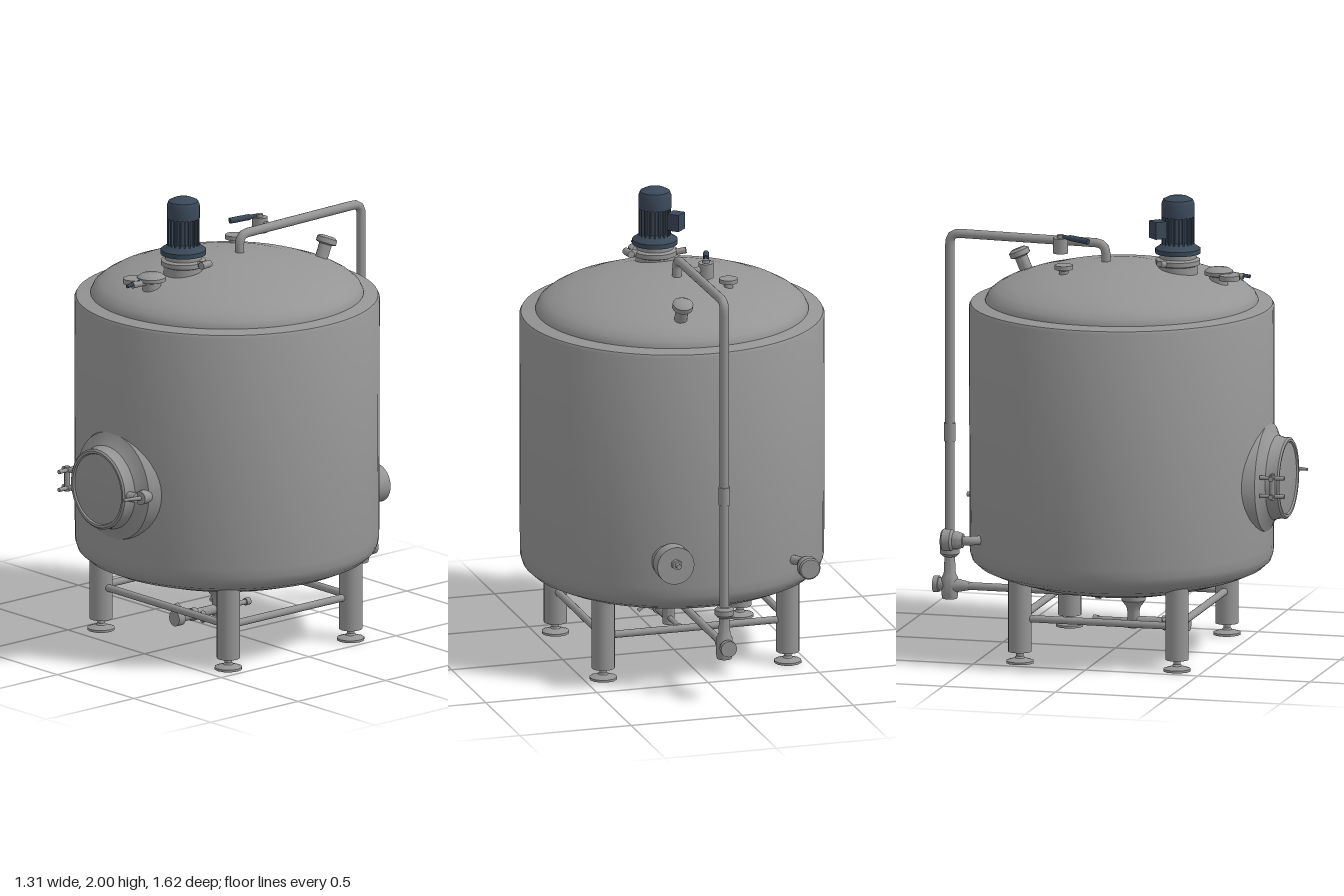
import * as THREE from 'three';
import { toCreasedNormals } from 'three/addons/utils/BufferGeometryUtils.js';

const steel = new THREE.MeshStandardMaterial({ color: 0x959595 });
steel.name = 'steel grey';
const navy = new THREE.MeshStandardMaterial({ color: 0x3a4858 });
navy.name = 'dark blue';

const CZ = 0.028; // tank axis in z
const V = (x, y, z) => new THREE.Vector3(x, y, z);

export function createModel() {
  const model = new THREE.Group();
  model.name = 'processTank';

  const add = (name, geo, mat = steel, parent = model) => {
    const mesh = new THREE.Mesh(geo, mat);
    mesh.name = name;
    parent.add(mesh);
    return mesh;
  };
  // turned profile, listed bottom to top as [radius, height]
  const lathe = (pts, seg = 32, crease = 0.6) =>
    toCreasedNormals(new THREE.LatheGeometry(pts.map(p => new THREE.Vector2(...p)), seg), crease);
  // straight round bar from a to b
  const rod = (name, a, b, r, mat = steel, parent = model, r2 = r, seg = 16) => {
    const d = b.clone().sub(a);
    const mesh = add(name, new THREE.CylinderGeometry(r2, r, d.length(), seg), mat, parent);
    mesh.position.copy(a).addScaledVector(d, 0.5);
    mesh.quaternion.setFromUnitVectors(V(0, 1, 0), d.normalize());
    return mesh;
  };
  // pipe through corner points with rounded bends
  const pipe = (name, pts, r, bend, parent = model) => {
    const path = new THREE.CurvePath();
    let from = pts[0];
    for (let i = 1; i < pts.length - 1; i++) {
      const p = pts[i];
      const a = p.clone().add(pts[i - 1].clone().sub(p).setLength(bend));
      const b = p.clone().add(pts[i + 1].clone().sub(p).setLength(bend));
      path.add(new THREE.LineCurve3(from, a));
      path.add(new THREE.QuadraticBezierCurve3(a, p, b));
      from = b;
    }
    path.add(new THREE.LineCurve3(from, pts[pts.length - 1]));
    return add(name, new THREE.TubeGeometry(path, 100, r, 14), steel, parent);
  };
  const group = (name, x, y, z) => {
    const g = new THREE.Group();
    g.name = name;
    g.position.set(x, y, z);
    model.add(g);
    return g;
  };

  // Vessel: dished bottom, straight jacket, flat shoulder
  add('tankJacket', lathe([
    [0, 0.25], [0.15, 0.26], [0.3, 0.28], [0.45, 0.315], [0.56, 0.35], [0.615, 0.375],
    [0.643, 0.4], [0.653, 0.43], [0.655, 0.47], [0.657, 1.505], [0.65, 1.518], [0.58, 1.53],
  ], 72)).position.z = CZ;
  add('domedLid', lathe([
    [0.588, 1.5], [0.588, 1.532], [0.575, 1.558], [0.545, 1.583], [0.5, 1.608], [0.42, 1.637],
    [0.3, 1.667], [0.15, 1.69], [0, 1.698],
  ], 72)).position.z = CZ;

  // Legs with levelling feet, and the square of cross bars
  const corners = [[0.415, 0.385], [0.415, -0.315], [-0.415, -0.315], [-0.415, 0.385]];
  corners.forEach(([x, z], i) => {
    const leg = group('leg', x, 0, z);
    add('legTube', new THREE.CylinderGeometry(0.05, 0.05, 0.34, 24), steel, leg).position.y = 0.22;
    add('foot', lathe([[0, 0], [0.06, 0], [0.06, 0.01], [0.022, 0.022], [0.016, 0.03], [0.016, 0.06]], 12), steel, leg);
    const [nx, nz] = corners[(i + 1) % 4];
    rod('crossBar', V(x, 0.195, z), V(nx, 0.195, nz), 0.016);
  });

  // Front manway
  const hatch = group('manway', 0, 0.785, 0);
  add('manwayNeck', lathe([
    [0.27, 0.6], [0.255, 0.64], [0.235, 0.682], [0.205, 0.697], [0.183, 0.715], [0.176, 0.74],
    [0.176, 0.766], [0.168, 0.773], [0.158, 0.772], [0.154, 0.764],
  ], 48).rotateX(Math.PI / 2), steel, hatch);
  add('manwayDoor', lathe([[0.157, 0.74], [0.155, 0.764], [0.1, 0.77], [0, 0.775]], 48)
    .rotateX(Math.PI / 2), steel, hatch);
  for (const y of [-0.04, 0.04]) {
    rod('hingeArm', V(-0.165, y, 0.745), V(-0.24, y, 0.755), 0.011, steel, hatch);
    rod('hingeBolt', V(-0.215, y, 0.7), V(-0.208, y, 0.808), 0.009, steel, hatch);
  }
  rod('hingePin', V(-0.215, -0.055, 0.755), V(-0.215, 0.055, 0.755), 0.012, steel, hatch);
  rod('clampBlock', V(0.17, 0, 0.74), V(0.215, 0, 0.735), 0.022, steel, hatch);
  rod('clampKnob', V(0.215, 0, 0.675), V(0.225, 0, 0.725), 0.03, steel, hatch);
  rod('clampLever', V(0.238, 0, 0.68), V(0.203, 0, 0.8), 0.011, steel, hatch, 0.006);

  // Agitator: steel neck and clamp, finned motor above
  const drive = group('agitator', 0, 0, 0.278);
  add('driveNeck', lathe([
    [0.085, 1.64], [0.085, 1.695], [0.096, 1.7], [0.096, 1.72], [0.08, 1.727], [0.08, 1.755],
  ], 32), steel, drive);
  rod('neckClampEar', V(0.08, 1.71, -0.01), V(0.125, 1.725, -0.02), 0.014, steel, drive);
  rod('neckClampNut', V(0.12, 1.72, -0.045), V(0.128, 1.72, 0.01), 0.016, steel, drive);
  rod('neckClampEar', V(-0.08, 1.71, -0.035), V(-0.125, 1.72, -0.05), 0.014, steel, drive);
  add('motorFlange', lathe([
    [0, 1.748], [0.098, 1.748], [0.098, 1.768], [0.085, 1.776], [0.066, 1.792], [0.058, 1.8],
  ], 32), navy, drive);
  add('motorBody', new THREE.CylinderGeometry(0.06, 0.06, 0.14, 28), navy, drive).position.y = 1.85;
  for (let i = 0; i < 20; i++) {
    const a = i / 20 * Math.PI * 2;
    const fin = add('coolingFin', new THREE.BoxGeometry(0.007, 0.125, 0.014), navy, drive);
    fin.position.set(Math.sin(a) * 0.063, 1.85, Math.cos(a) * 0.063);
    fin.rotation.y = a;
  }
  add('fanCover', lathe([
    [0, 1.908], [0.071, 1.908], [0.071, 1.965], [0.064, 1.983], [0.04, 1.995], [0, 2],
  ], 32), navy, drive);
  const box = add('terminalBox', new THREE.BoxGeometry(0.06, 0.075, 0.055), navy, drive);
  box.position.set(-0.073, 1.86, -0.07);
  box.rotation.y = Math.PI / 4;

  // Sampling port on the front of the lid
  const port = group('lidPort', 0, 0, 0.46);
  add('portNeck', lathe([[0.04, 1.6], [0.04, 1.655], [0.062, 1.662], [0.062, 1.678], [0.045, 1.69], [0, 1.693]], 28), steel, port);
  add('portCover', lathe([[0, 1.65], [0.045, 1.65], [0.045, 1.672], [0, 1.676]], 24), steel, port).position.set(-0.05, 0, 0.06);
  rod('portArm', V(0, 1.66, 0.03), V(0, 1.66, 0.11), 0.014, steel, port);
  rod('portHandle', V(0, 1.668, 0.07), V(0, 1.66, 0.14), 0.008, navy, port);

  // Small lid nozzles
  const ferrule = [[0.02, -0.07], [0.02, -0.012], [0.04, -0.006], [0.04, 0.012], [0, 0.014]];
  add('lidNozzle', lathe(ferrule, 24)).position.set(-0.19, 1.695, -0.18);
  const tilted = add('tiltedNozzle', lathe([
    [0.028, -0.09], [0.028, -0.02], [0.045, -0.014], [0.045, 0.008], [0.03, 0.018], [0, 0.018],
  ], 14));
  tilted.position.set(0.1, 1.693, -0.455);
  tilted.rotation.x = -0.4;

  // Cleaning line: over the lid, down the back, to the pump fitting
  pipe('cleaningPipe', [V(0, 1.66, -0.043), V(0, 1.772, -0.043), V(0, 1.783, -0.738), V(0, 0.25, -0.738)], 0.02, 0.045);
  rod('pipeSleeve', V(0, 0.87, -0.738), V(0, 0.95, -0.738), 0.025);
  add('pipeFlange', lathe([[0, 0.365], [0.03, 0.365], [0.042, 0.378], [0.042, 0.4], [0.03, 0.412], [0, 0.412]], 24)).position.z = -0.738;
  add('pumpFitting', lathe([[0, 0.18], [0.032, 0.18], [0.036, 0.2], [0.036, 0.27], [0.026, 0.29], [0.022, 0.37]], 24)).position.z = -0.738;
  rod('pumpCap', V(0, 0.24, -0.74), V(0, 0.24, -0.79), 0.028);
  rod('pumpCapRing', V(0, 0.24, -0.785), V(0, 0.24, -0.808), 0.036);
  rod('pumpReducer', V(0, 0.238, -0.735), V(0, 0.238, -0.65), 0.036, steel, model, 0.018);
  pipe('returnPipe', [V(0, 0.238, -0.68), V(0, 0.238, -0.06), V(0, 0.27, -0.03)], 0.017, 0.03);
  rod('returnFerrule', V(0, 0.238, -0.085), V(0, 0.238, -0.065), 0.026);

  // Valve beside the pipe on the lid
  rod('valveBranch', V(0, 1.775, -0.235), V(-0.075, 1.77, -0.225), 0.015);
  rod('valveBody', V(-0.075, 1.735, -0.225), V(-0.075, 1.802, -0.225), 0.034, steel, model, 0.034, 12);
  rod('valveHub', V(-0.075, 1.8, -0.225), V(-0.075, 1.815, -0.225), 0.015);
  rod('valveLever', V(-0.08, 1.808, -0.21), V(-0.095, 1.805, -0.165), 0.009, navy);
  rod('valveGrip', V(-0.09, 1.806, -0.18), V(-0.117, 1.8, -0.09), 0.013, navy);

  // Round sensor housing on the back
  rod('sensorHousing', V(0.195, 0.59, -0.5), V(0.195, 0.59, -0.66), 0.079, steel, model, 0.079, 32);
  rod('sensorRim', V(0.195, 0.59, -0.6), V(0.195, 0.59, -0.664), 0.083, steel, model, 0.083, 32);
  rod('sensorStem', V(0.195, 0.6, -0.66), V(0.195, 0.6, -0.712), 0.011);
  rod('sensorNut', V(0.195, 0.6, -0.66), V(0.195, 0.6, -0.685), 0.022, steel, model, 0.022, 6);

  // Side outlet with cap at the back
  pipe('sideOutlet', [V(-0.36, 0.52, -0.48), V(-0.41, 0.52, -0.54), V(-0.41, 0.52, -0.6)], 0.02, 0.03);
  add('sideOutletCap', lathe([[0, 0.565], [0.03, 0.568], [0.038, 0.59], [0.038, 0.61], [0.048, 0.62], [0.048, 0.655], [0.042, 0.662], [0, 0.662]], 24)
    .rotateX(-Math.PI / 2)).position.set(-0.41, 0.52, 0);

  // Drain under the tank, with valve, spout and lever
  const drain = group('drain', 0, 0, 0.08);
  add('drainCone', lathe([
    [0, 0.095], [0.026, 0.095], [0.026, 0.165], [0.03, 0.185], [0.045, 0.205], [0.052, 0.215], [0.052, 0.27],
  ], 24), steel, drain);
  rod('drainSpout', V(0, 0.125, 0), V(0, 0.125, 0.25), 0.021, steel, drain);
  rod('spoutFerrule', V(0, 0.125, 0.215), V(0, 0.125, 0.25), 0.034, steel, drain);
  rod('drainCollar', V(0, 0.125, 0.13), V(0, 0.125, 0.155), 0.028, steel, drain);
  rod('drainLever', V(0, 0.125, 0), V(0, 0.125, -0.175), 0.011, steel, drain);
  rod('leverKnob', V(0, 0.125, -0.155), V(0, 0.125, -0.178), 0.016, steel, drain);
  for (const s of [-1, 1]) {
    rod('wingNut', V(s * 0.02, 0.13, 0.16), V(s * 0.065, 0.135, 0.16), 0.01, steel, drain);
    rod('wingTip', V(s * 0.055, 0.128, 0.16), V(s * 0.088, 0.155, 0.16), 0.01, steel, drain);
    rod('wingTip', V(s * 0.055, 0.138, 0.16), V(s * 0.088, 0.112, 0.16), 0.008, steel, drain);
  }
  return model;
}
